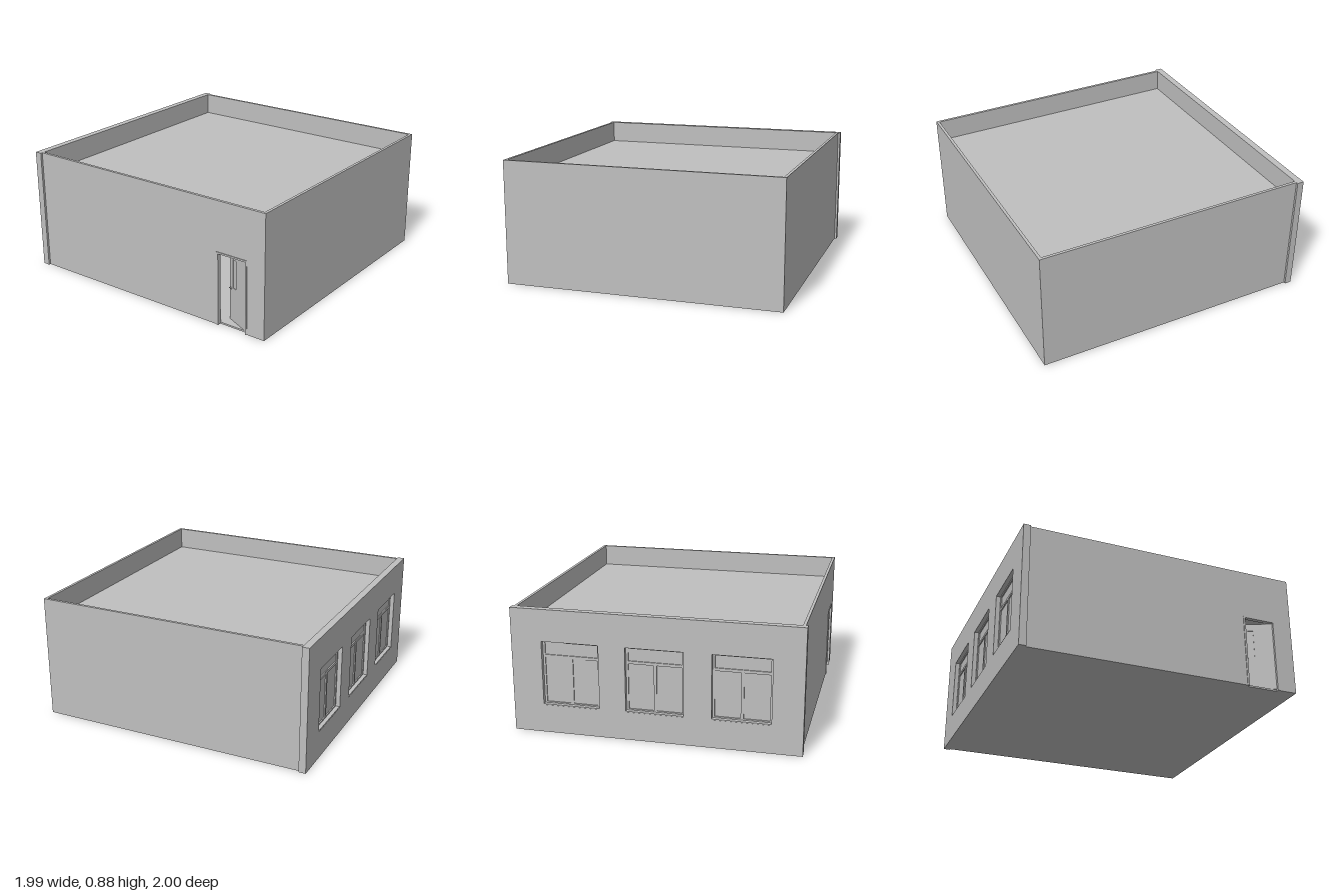
import * as THREE from 'three';

export function createModel() {
  const model = new THREE.Group();
  model.name = 'building';
  const grey = new THREE.MeshStandardMaterial({ color: 0xbfbfbf });
  grey.name = 'plain grey';

  const H = 0.88;      // wall height
  const roofY = 0.72;  // top of the roof inside the parapet

  const add = (parent, name, geometry) => {
    const mesh = new THREE.Mesh(geometry, grey);
    mesh.name = name;
    parent.add(mesh);
    return mesh;
  };
  // box given by its minimum and maximum corners
  const box = (parent, name, x0, x1, y0, y1, z0, z1) => {
    const g = new THREE.BoxGeometry(x1 - x0, y1 - y0, z1 - z0);
    g.translate((x0 + x1) / 2, (y0 + y1) / 2, (z0 + z1) / 2);
    return add(parent, name, g);
  };
  const group = (name, parent = model) => {
    const g = new THREE.Group();
    g.name = name;
    parent.add(g);
    return g;
  };
  const rect = (Type, x0, x1, y0, y1) => new Type([
    [x0, y0], [x1, y0], [x1, y1], [x0, y1],
  ].map(([x, y]) => new THREE.Vector2(x, y)));
  const extrude = (shape, depth) =>
    new THREE.ExtrudeGeometry(shape, { depth, bevelEnabled: false });

  // floor, roof and the plain walls
  box(model, 'floor', -0.95, 0.97, 0.0, 0.012, -0.965, 0.965);
  box(model, 'roof', -0.95, 0.97, roofY - 0.03, roofY, -0.965, 0.965);
  box(model, 'backWall', -0.95, 0.99, 0, H, -0.985, -0.965);
  box(model, 'leftSideWall', 0.97, 0.99, 0, H, -0.965, 0.965);

  // front wall with the doorway cut from its lower edge
  const front = new THREE.Shape([
    [-0.95, 0], [0.62, 0], [0.62, 0.52], [0.85, 0.52], [0.85, 0],
    [0.97, 0], [0.99, 0], [0.99, H], [-0.95, H],
  ].map(([x, y]) => new THREE.Vector2(x, y)));
  add(model, 'frontWall', extrude(front, 0.02)).position.z = 0.965;

  // thick window wall; its outline is drawn as (z, y) and turned to face -x
  const windowZ = [-0.585, 0, 0.59];
  const side = rect(THREE.Shape, -1, 1, 0, H);
  for (const z of windowZ) side.holes.push(rect(THREE.Path, z - 0.2, z + 0.2, 0.2, 0.655));
  add(model, 'windowWall', extrude(side, 0.05).rotateY(-Math.PI / 2)).position.x = -0.95;

  // recessed windows: one fixed light above two casements
  for (const z of windowZ) {
    const w = group('window');
    w.position.set(-0.95, 0, z);
    const frame = rect(THREE.Shape, -0.2, 0.2, 0.2, 0.655);
    const lights = [
      [-0.185, 0.185, 0.555, 0.642],
      [-0.185, -0.01, 0.215, 0.535],
      [0.01, 0.185, 0.215, 0.535],
    ];
    for (const l of lights) frame.holes.push(rect(THREE.Path, ...l));
    add(w, 'windowFrame', extrude(frame, 0.02).rotateY(-Math.PI / 2));
    for (const [a, b, c, d] of lights) box(w, 'windowPane', -0.012, -0.006, c, d, a, b);
    box(w, 'windowSill', -0.048, -0.02, 0.2, 0.206, -0.2, 0.2);
  }

  // door frame, standing slightly proud of the wall
  const doorFrame = group('doorFrame');
  box(doorFrame, 'frameHead', 0.613, 0.855, 0.515, 0.527, 0.96, 0.99);
  box(doorFrame, 'frameJamb', 0.613, 0.627, 0, 0.515, 0.96, 0.99);
  box(doorFrame, 'frameJamb', 0.846, 0.855, 0, 0.515, 0.96, 0.99);

  // door leaf, hinged on the model's left and standing ajar inwards
  const door = group('door');
  door.position.set(0.846, 0, 0.975);
  door.rotation.y = -0.42;
  const leaf = rect(THREE.Shape, -0.217, 0, 0.012, 0.513);
  leaf.holes.push(rect(THREE.Path, -0.175, -0.135, 0.255, 0.46));
  add(door, 'doorLeaf', extrude(leaf, 0.012)).position.z = -0.012;
  box(door, 'doorPane', -0.175, -0.135, 0.255, 0.46, -0.008, -0.004);
  for (const z of [0.008, -0.02]) {
    box(door, 'doorHandle', -0.207, -0.18, 0.245, 0.251, z - 0.003, z + 0.003);
    box(door, 'handleStem', -0.207, -0.201, 0.245, 0.251, Math.min(z, -0.012), Math.max(z, 0));
  }

  // simple furniture inside: tables, each with a chair
  const legs = (parent, name, hx, hz, h, t) => {
    for (const x of [-hx, hx]) for (const z of [-hz, hz]) {
      box(parent, name, x - t, x + t, 0.012, h, z - t, z + t);
    }
  };
  for (const [x, z] of [[0.5, 0.3], [0, 0], [-0.4, 0.5]]) {
    const table = group('table');
    table.position.set(x, 0, z);
    box(table, 'tableTop', -0.15, 0.15, 0.18, 0.19, -0.09, 0.09);
    legs(table, 'tableLeg', 0.135, 0.075, 0.18, 0.006);
    const chair = group('chair');
    chair.position.set(x, 0, z - 0.15);
    box(chair, 'chairSeat', -0.055, 0.055, 0.11, 0.118, -0.055, 0.055);
    box(chair, 'chairBack', -0.055, 0.055, 0.15, 0.22, -0.055, -0.047);
    for (const s of [-0.045, 0.045]) box(chair, 'backPost', s - 0.004, s + 0.004, 0.118, 0.15, -0.055, -0.047);
    legs(chair, 'chairLeg', 0.048, 0.048, 0.11, 0.004);
  }

  return model;
}
